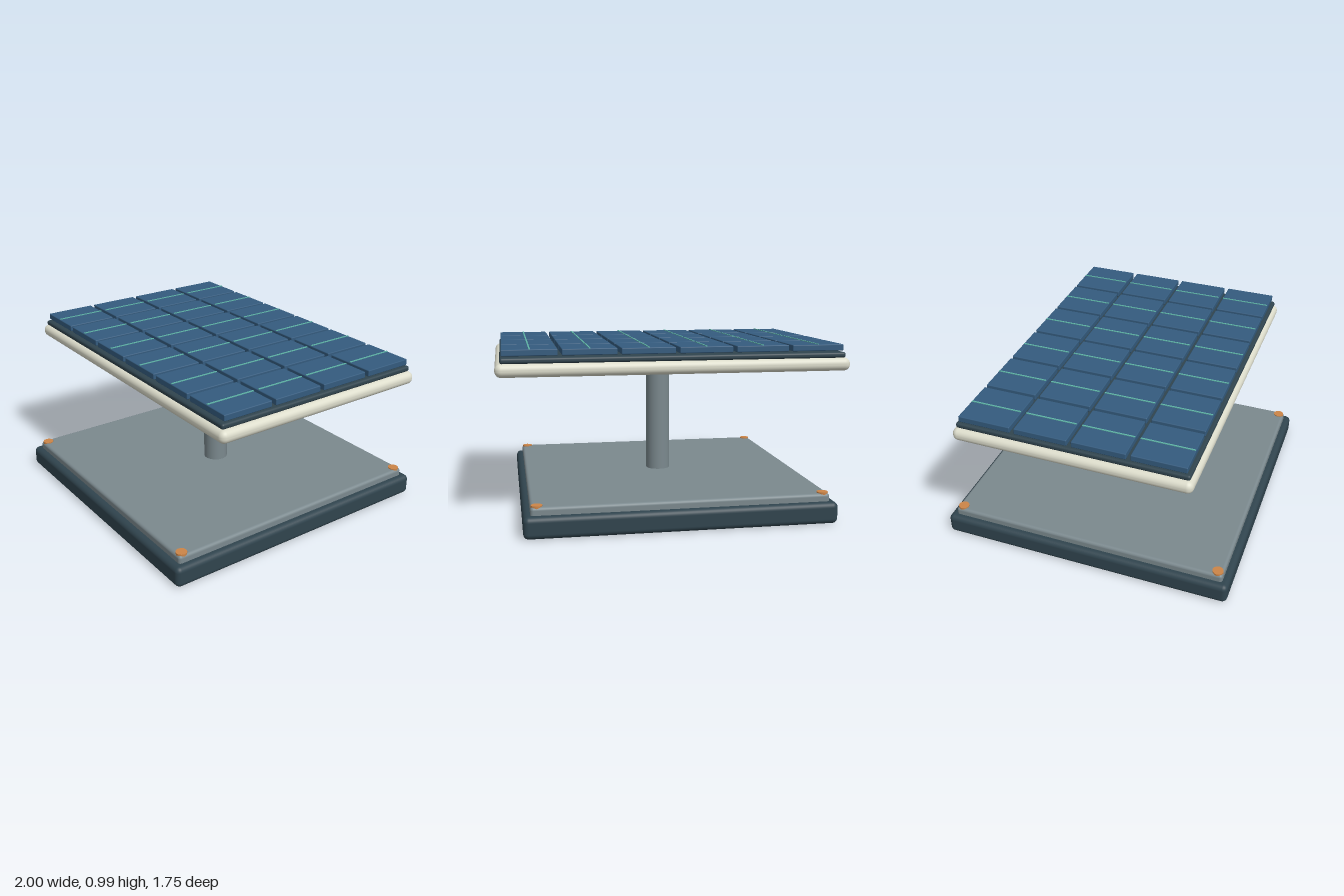
import * as THREE from 'three';
import { RoundedBoxGeometry } from 'three/addons/geometries/RoundedBoxGeometry.js';

const material = (name, color) => {
  const m = new THREE.MeshStandardMaterial({ color });
  m.name = name;
  return m;
};

export function createModel() {
  const slate = material('dark slate', 0x30444e);
  const steel = material('grey steel', 0x7b898e);
  const ivory = material('ivory', 0xdcdccb);
  const blue = material('cell blue', 0x345b7e);
  const teal = material('teal', 0x5fb5a8);
  const copper = material('copper', 0xcc8548);

  const model = new THREE.Group();
  model.name = 'solarTable';

  const add = (name, geometry, mat, x, y, z, parent = model) => {
    const mesh = new THREE.Mesh(geometry, mat);
    mesh.name = name;
    mesh.position.set(x, y, z);
    parent.add(mesh);
    return mesh;
  };

  // Rounded slab spanning heights y0 to y1
  const slab = (name, w, d, y0, y1, r, mat) =>
    add(name, new RoundedBoxGeometry(w, y1 - y0, d, 4, r), mat, 0, (y0 + y1) / 2, 0);

  // Base and column
  slab('base', 1.75, 1.75, 0.005, 0.128, 0.03, slate);
  slab('basePlate', 1.67, 1.67, 0.1, 0.172, 0.018, steel);
  add('column', new THREE.CylinderGeometry(0.073, 0.073, 0.7, 32), steel, 0, 0.515, 0);

  // Corner bolts
  const boltGeometry = new THREE.CylinderGeometry(0.032, 0.032, 0.018, 12);
  for (const x of [-0.8, 0.8])
    for (const z of [-0.8, 0.8]) add('bolt', boltGeometry, copper, x, 0.169, z);

  // Panel frame and backing
  slab('panelFrame', 2, 1.36, 0.843, 0.918, 0.035, ivory);
  slab('panelBacking', 1.945, 1.32, 0.917, 0.949, 0.013, slate);

  // Grid of solar cells, each with a thin conductor strip
  const cells = new THREE.Group();
  cells.name = 'solarCells';
  model.add(cells);
  const cellGeometry = new RoundedBoxGeometry(0.303, 0.036, 0.302, 2, 0.005);
  const stripGeometry = new THREE.BoxGeometry(0.008, 0.008, 0.295);
  for (let col = 0; col < 6; col++) {
    for (let row = 0; row < 4; row++) {
      const x = (col - 2.5) * 0.325;
      const z = (row - 1.5) * 0.327;
      add('cell', cellGeometry, blue, x, 0.975, z, cells);
      add('conductorStrip', stripGeometry, teal, x, 0.993, z, cells);
    }
  }
  return model;
}
